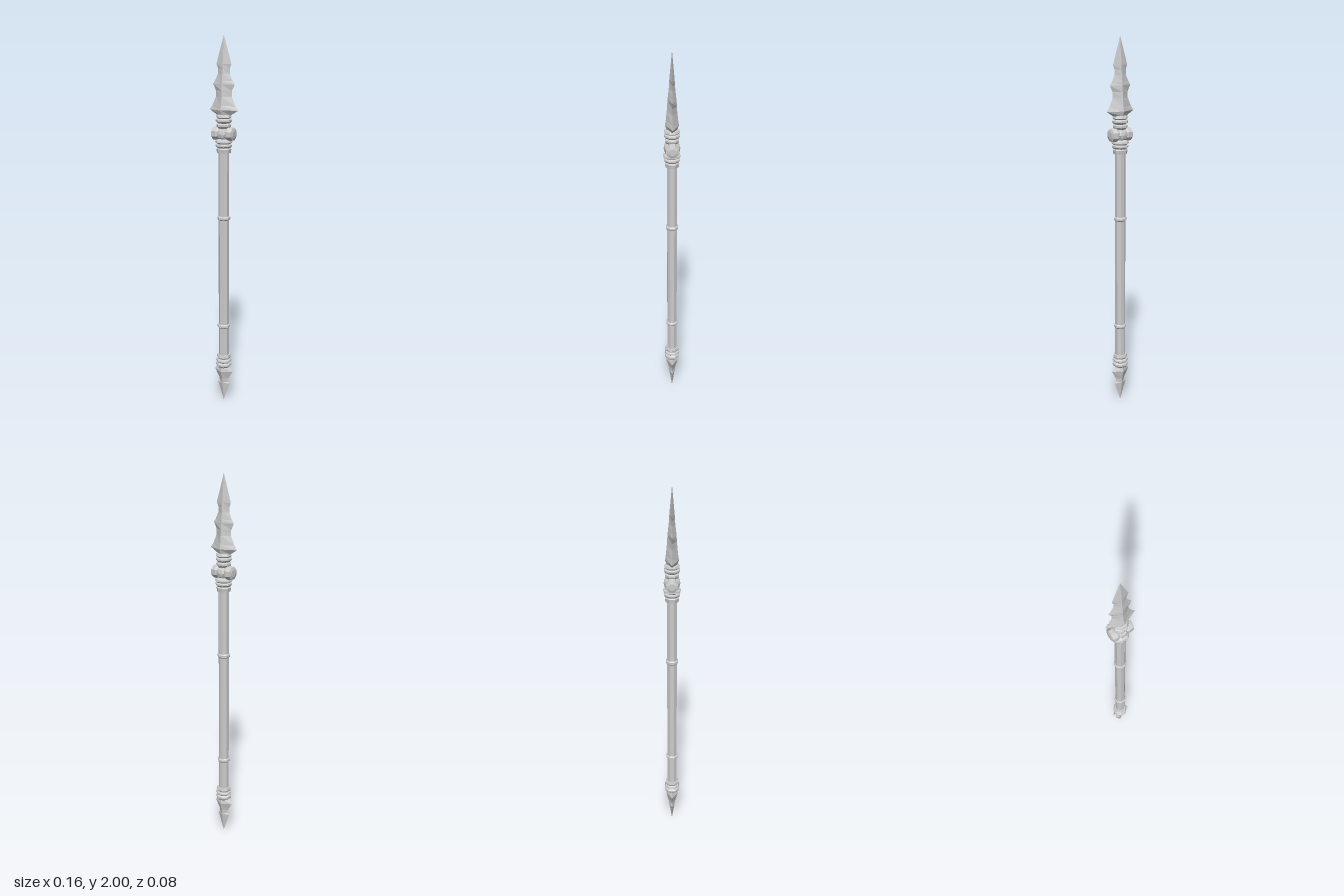
import * as THREE from 'three';

const material = new THREE.MeshStandardMaterial({ color: 0xcccccc, flatShading: true });

function add(group, name, geometry) {
  const mesh = new THREE.Mesh(geometry, material);
  mesh.name = name;
  group.add(mesh);
  return mesh;
}

// Faceted turned part; rows are [radius, y] from bottom to top
function turned(rows, sides = 8) {
  const points = rows.map(([r, y]) => new THREE.Vector2(r, y));
  return new THREE.LatheGeometry(points, sides, Math.PI / sides);
}

// Diamond-section blade; rows are [y, half width, half depth] from bottom to top
function blade(rows) {
  const geometry = new THREE.LatheGeometry(rows.map(([y, w]) => new THREE.Vector2(w, y)), 4);
  const pos = geometry.attributes.position;
  for (let i = 0; i < pos.count; i++) {
    const [, w, d] = rows[i % rows.length];
    pos.setZ(i, w > 0 ? pos.getZ(i) * d / w : 0);
  }
  return geometry;
}

export function createModel() {
  const group = new THREE.Group();
  group.name = 'spear';

  // Shaft with two thin bands
  add(group, 'shaft', turned([[0.028, 0.24], [0.028, 1.43]]));
  for (const y of [0.45, 1.06]) {
    add(group, 'shaftBand', turned([
      [0.027, y - 0.012], [0.034, y - 0.005], [0.034, y + 0.005], [0.027, y + 0.012],
    ]));
  }

  // Stacked collars under the blade and above the butt spike
  add(group, 'upperCollar', turned([
    [0, 1.408], [0.036, 1.408], [0.039, 1.428], [0.034, 1.434], [0.043, 1.443], [0.043, 1.45],
    [0.034, 1.455], [0.046, 1.463], [0.044, 1.472], [0.028, 1.482], [0.025, 1.505],
    [0.03, 1.535], [0.038, 1.545], [0.038, 1.555], [0.031, 1.561], [0.042, 1.571],
    [0.042, 1.579], [0.033, 1.585], [0.041, 1.592], [0.037, 1.603], [0, 1.61],
  ]));
  add(group, 'lowerCollar', turned([
    [0, 0.2], [0.034, 0.207], [0.043, 0.217], [0.043, 0.227], [0.034, 0.234], [0.043, 0.242],
    [0.042, 0.251], [0.034, 0.257], [0.039, 0.266], [0.036, 0.279], [0, 0.281],
  ]));

  // Cross-shaped knob: flat-ended side studs, pointed gems front and back
  for (const side of [-1, 1]) {
    const stud = add(group, 'sideStud', turned([
      [0.024, 0], [0.037, 0.032], [0.034, 0.057], [0.018, 0.062], [0, 0.062],
    ]));
    stud.rotation.z = -side * Math.PI / 2;
    stud.position.y = 1.507;

    const gem = add(group, 'gem', turned([
      [0.034, 0], [0.034, 0.022], [0.022, 0.036], [0, 0.042],
    ], 6));
    gem.rotation.x = side * Math.PI / 2;
    gem.position.y = 1.507;
  }

  // Stepped blade
  add(group, 'blade', blade([
    [1.595, 0, 0], [1.602, 0.04, 0.026], [1.628, 0.082, 0.035], [1.65, 0.066, 0.031],
    [1.695, 0.046, 0.026], [1.725, 0.046, 0.024], [1.758, 0.062, 0.022], [1.775, 0.05, 0.02],
    [1.81, 0.034, 0.016], [1.835, 0.034, 0.014], [1.858, 0.043, 0.013], [2, 0, 0],
  ]));

  // Butt spike
  add(group, 'buttSpike', blade([
    [0, 0, 0], [0.105, 0.036, 0.016], [0.115, 0.026, 0.017], [0.135, 0.028, 0.02],
    [0.182, 0.055, 0.033], [0.212, 0.034, 0.028], [0.22, 0, 0],
  ]));

  return group;
}
